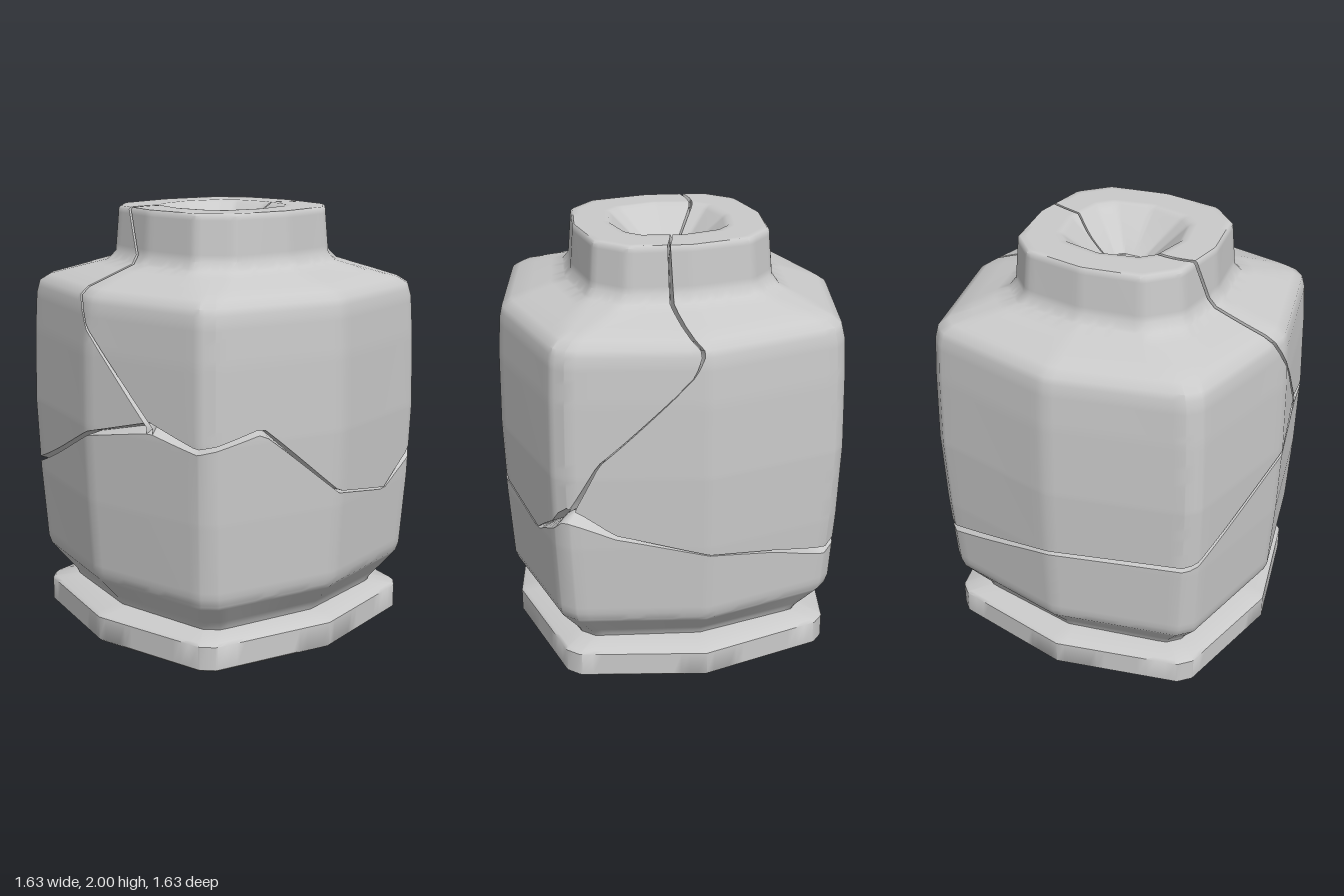
import * as THREE from 'three';
import { toCreasedNormals } from 'three/addons/utils/BufferGeometryUtils.js';

const RAD = Math.PI / 180;
const stone = new THREE.MeshStandardMaterial({ color: 0xcacaca, side: THREE.DoubleSide });
stone.name = 'grey stone';

// linear interpolation in a table whose rows start with the key
function sample(table, k) {
  if (k <= table[0][0]) return table[0].slice(1);
  for (let i = 1; i < table.length; i++) {
    const a = table[i - 1], b = table[i];
    if (k <= b[0]) {
      const f = (k - a[0]) / (b[0] - a[0]);
      return a.slice(1).map((v, n) => v + (b[n + 1] - v) * f);
    }
  }
  return table[table.length - 1].slice(1);
}

// profile rows: parameter, height, half width on axis, corner long and short coordinate
const BODY = [
  [0.14, 0.14, 0.63, 0.54, 0.48], [0.17, 0.17, 0.64, 0.55, 0.49],
  [0.31, 0.31, 0.765, 0.64, 0.58], [0.35, 0.35, 0.78, 0.65, 0.59],
  [0.7, 0.7, 0.803, 0.667, 0.61], [1.05, 1.05, 0.815, 0.675, 0.622],
  [1.4, 1.4, 0.81, 0.67, 0.615], [1.58, 1.58, 0.799, 0.662, 0.607],
  [1.64, 1.64, 0.785, 0.65, 0.595], [1.67, 1.67, 0.742, 0.615, 0.56],
  [1.75, 1.75, 0.49, 0.445, 0.32], [1.79, 1.79, 0.46, 0.42, 0.29],
  [1.99, 1.99, 0.445, 0.405, 0.28], [2.0, 2.0, 0.437, 0.395, 0.275],
  [2.18, 2.0, 0.28, 0.24, 0.18], [2.21, 1.985, 0.262, 0.225, 0.165],
  [2.4, 1.83, 0.08, 0.08, 0.05],
];
const PLINTH = [
  [0, 0, 0.001, 0.001, 0.0008], [0.05, 0, 0.76, 0.63, 0.575],
  [0.06, 0.01, 0.77, 0.64, 0.585], [0.17, 0.12, 0.77, 0.64, 0.585],
  [0.185, 0.132, 0.755, 0.63, 0.575], [0.22, 0.152, 0.62, 0.53, 0.47],
];

// cracks: angle from the front in degrees, height, half gap
const RING_CRACK = [
  [-180, 0.71, 0.01], [-135, 0.73, 0.012], [-90, 1.02, 0.01], [-64, 1.1, 0.025],
  [-48, 1.03, 0.012], [-42, 1.05, 0.01], [-29, 1.1, 0.014], [0, 0.765, 0.005],
  [29, 0.685, 0.005], [41.5, 0.8, 0.02], [46, 0.88, 0.04], [50, 0.85, 0.035],
  [59.6, 0.76, 0.01], [90, 0.66, 0.002], [115, 0.595, 0.006], [131.6, 0.53, 0.018],
  [136, 0.545, 0.018], [180, 0.71, 0.01],
];
// rising cracks: profile parameter, angle, half gap
const RIGHT_CRACK = [
  [0.9, 48.4, 0.012], [1.12, 55.6, 0.004], [1.44, 79, 0.002], [1.53, 85, 0.002],
  [1.63, 88, 0.008], [1.75, 78.5, 0.009], [2.0, 77, 0.006], [2.2, 80, 0.005], [2.4, 100, 0.004],
];
const LEFT_CRACK = [
  [1.1, -64, 0.016], [1.5, -90, 0.007], [1.64, -96, 0.009], [1.78, -100, 0.009],
  [2.0, -112.5, 0.009], [2.2, -127, 0.007], [2.4, -127, 0.004],
];

// distance to the rounded square section along an angle
function radius(deg, a, b, c) {
  let p = ((deg % 90) + 90) % 90;
  if (p > 45) p = 90 - p;
  const s = Math.sin(p * RAD), k = Math.cos(p * RAD);
  if (p > Math.atan2(c, b) / RAD) return (b + c) / (s + k);
  return a * c / (c * k + (a - b) * s);
}
// point on a profile; deep points lie below the surface
function point(profile, deg, t, depth = 0) {
  const [y, a, b, c] = sample(profile, t);
  const r = radius(deg, a, b, c) - (t < 2.1 ? depth : 0);
  return [r * Math.sin(deg * RAD), y - (t > 1.66 ? depth : 0), r * Math.cos(deg * RAD)];
}

// grid of points to a mesh, skipping collapsed triangles
function skin(name, rows) {
  const pos = [];
  const tri = (...p) => {
    const [a, b, c] = p.map((v) => new THREE.Vector3(...v));
    if (b.sub(a).cross(c.sub(a)).length() > 1e-9) pos.push(...p.flat());
  };
  for (let j = 0; j + 1 < rows.length; j++) {
    for (let i = 0; i + 1 < rows[j].length; i++) {
      tri(rows[j][i], rows[j][i + 1], rows[j + 1][i + 1]);
      tri(rows[j][i], rows[j + 1][i + 1], rows[j + 1][i]);
    }
  }
  const geo = new THREE.BufferGeometry();
  geo.setAttribute('position', new THREE.Float32BufferAttribute(pos, 3));
  const mesh = new THREE.Mesh(toCreasedNormals(geo, 0.8), stone);
  mesh.name = name;
  return mesh;
}

function angles(from, to) {
  const list = [];
  for (let d = from; d <= to; d += 3) list.push(d);
  for (let d = -315; d <= 315; d += 90) {
    for (const e of [d - 2.3, d + 2.3]) if (e > from && e < to) list.push(e);
  }
  return list.sort((a, b) => a - b);
}

const wrap = (d) => (d > 180 ? d - 360 : d);
const ringAt = (deg, side) => {
  const [y, g] = sample(RING_CRACK, wrap(deg));
  return y + side * g;
};
const riseAt = (crack, t, side, turn = 0) => {
  const [deg, g] = sample(crack, t), [, a, b, c] = sample(BODY, t);
  return deg + turn + side * g / radius(deg, a, b, c) / RAD;
};

const LEVELS = BODY.map((r) => r[0]);
for (let t = 0.2; t < 2.4; t += 0.03) LEVELS.push(t);
LEVELS.sort((a, b) => a - b);

// upper shard between two rising cracks, standing over the ring crack
function upperShard(name, start, end, turn) {
  const group = new THREE.Group();
  group.name = name;
  const cols = angles(start[0][1] - 48 - (turn ? 0 : 48), end[0][1] + turn + 60);
  const lo = (t, s) => riseAt(start, t, s), hi = (t, s) => riseAt(end, t, -s, turn);
  const place = (deg, level) => {
    let t = level, d = deg;
    for (let n = 0; n < 4; n++) {
      d = Math.min(Math.max(deg, lo(t, 1)), hi(t, 1));
      t = Math.max(level, ringAt(d, 1));
    }
    return [d, t];
  };
  const levels = LEVELS.filter((t) => t > 0.45);
  group.add(skin(name + 'Face', levels.map((t) => cols.map((d) => point(BODY, ...place(d, t))))));
  // broken edges slope in to the middle of each crack
  const under = cols.map((d) => place(d, 0));
  group.add(skin(name + 'LowerEdge', [
    under.map(([d]) => point(BODY, d, ringAt(d, 0), 0.08)),
    under.map(([d, t]) => point(BODY, d, t)),
  ]));
  for (const [edge, first] of [[lo, start[0][0]], [hi, end[0][0]]]) {
    const ts = levels.filter((t) => t >= first - 0.03);
    const inner = ts.map((t) => point(BODY, edge(t, 0), t, 0.08));
    const outer = ts.map((t) => point(BODY, edge(t, 1), t));
    group.add(skin(name + 'SideEdge', edge === lo ? [outer, inner] : [inner, outer]));
  }
  return group;
}

export function createModel() {
  const model = new THREE.Group();
  model.name = 'crackedUrn';
  const round = angles(-180, 180);

  // foot slab, slightly shallower than wide
  const plinth = skin('plinth', PLINTH.map((r) => round.map((d) => {
    const [x, y, z] = point(PLINTH, d, r[0]);
    return [x, y, z * 0.985];
  })));
  model.add(plinth);

  // lower shard and its broken upper edge
  const low = LEVELS.filter((t) => t < 1.2);
  model.add(skin('lowerShard', low.map((t) =>
    round.map((d) => point(BODY, d, Math.min(t, ringAt(d, -1)))))));
  model.add(skin('lowerShardEdge', [
    round.map((d) => point(BODY, d, ringAt(d, -1))),
    round.map((d) => point(BODY, d, ringAt(d, 0), 0.08)),
  ]));

  // two upper shards with neck, rim and funnel
  model.add(upperShard('frontShard', LEFT_CRACK, RIGHT_CRACK, 0));
  model.add(upperShard('backShard', RIGHT_CRACK, LEFT_CRACK, 360));

  // floor of the funnel
  const floor = new THREE.Mesh(new THREE.CircleGeometry(0.095, 8, Math.PI / 8), stone);
  floor.name = 'funnelFloor';
  floor.rotation.x = -Math.PI / 2;
  floor.position.y = 1.829;
  model.add(floor);
  return model;
}
